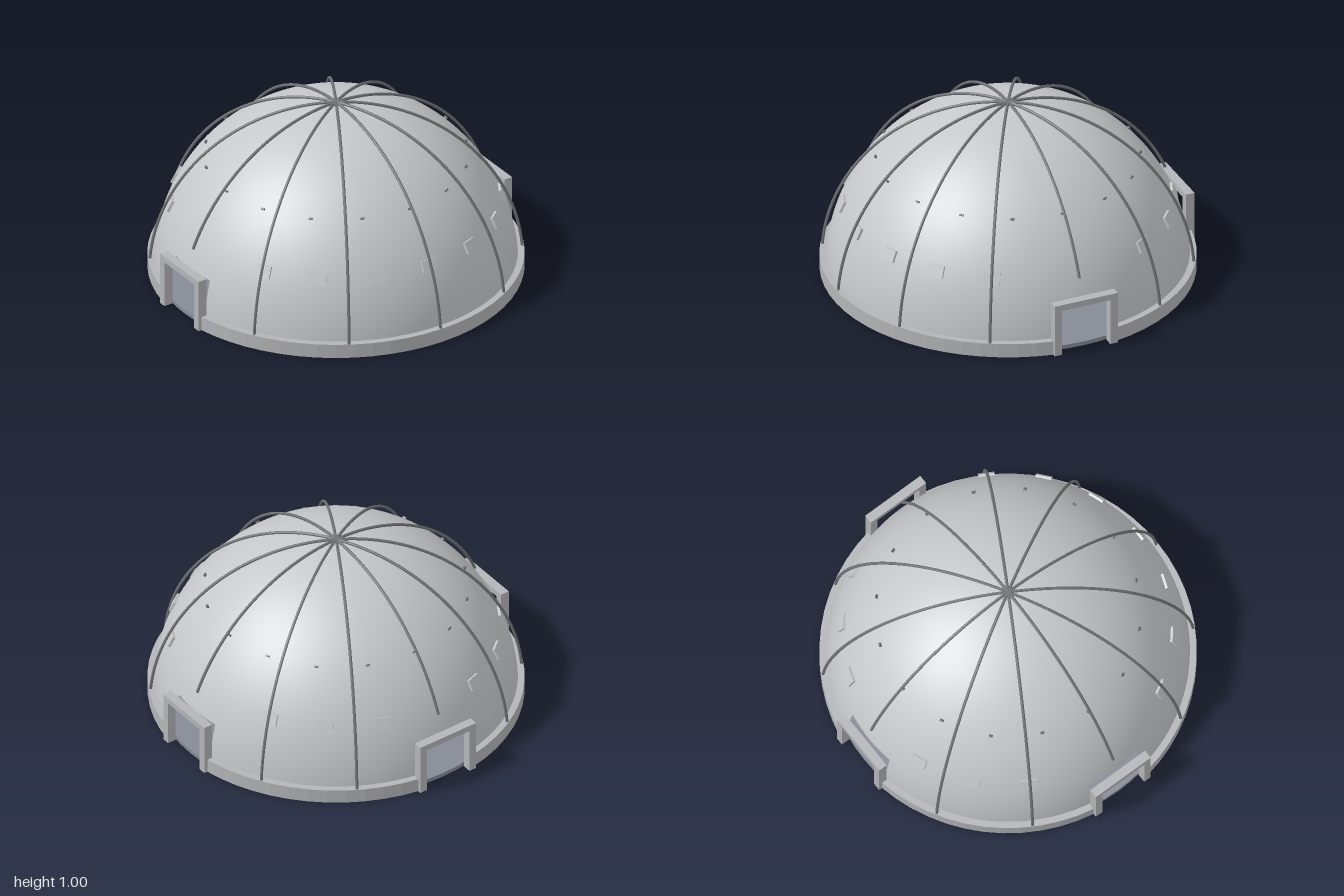
import * as THREE from 'three';

const R = 0.965;                       // dome radius
const DEG = Math.PI / 180;
const DOORS = [0, 90, 180];            // door headings: +x, back, -x
const DOOR_TOP = 0.27;

const mat = (name, color, side = THREE.FrontSide) => {
  const m = new THREE.MeshStandardMaterial({ color, side });
  m.name = name;
  return m;
};

export function createModel() {
  const model = new THREE.Group();
  const shell = mat('shell grey', 0xc6c7ca, THREE.DoubleSide);
  const trim = mat('trim grey', 0xb4b5b8);
  const ribMat = mat('rib dark grey', 0x707275);
  const floorMat = mat('floor blue grey', 0x868a96);

  const add = (parent, name, geometry, material) => {
    const mesh = new THREE.Mesh(geometry, material);
    mesh.name = name;
    parent.add(mesh);
    return mesh;
  };
  const group = (name) => {
    const g = new THREE.Group();
    g.name = name;
    model.add(g);
    return g;
  };

  // Dome: a full cap above door height, and three wall bands between the doors
  const dome = group('dome');
  const capTheta = Math.acos(DOOR_TOP / R);
  const wallTheta = Math.acos(0.01 / R);
  add(dome, 'domeCap', new THREE.SphereGeometry(R, 144, 40, 0, Math.PI * 2, 0, capTheta), shell);
  for (const [from, to] of [[10, 170], [190, 260], [280, 350]]) {
    add(dome, 'domeWall', new THREE.SphereGeometry(R, (to - from) / 2.5, 10,
      from * DEG, (to - from) * DEG, capTheta, wallTheta - capTheta), shell);
  }

  // Base ring, broken at each door
  const ring = group('baseRing');
  for (const [from, to] of [[10, 80], [100, 170], [190, 350]]) {
    const s = new THREE.Shape();
    s.absarc(0, 0, 0.998, from * DEG, to * DEG, false);
    s.absarc(0, 0, 0.95, to * DEG, from * DEG, true);
    const g = new THREE.ExtrudeGeometry(s, {
      depth: 0.08, bevelEnabled: false, curveSegments: Math.round((to - from) / 11.25),
    });
    add(ring, 'ringSection', g.rotateX(-Math.PI / 2), trim);
  }

  // Floor disc and central column
  add(model, 'floor', new THREE.CylinderGeometry(0.96, 0.96, 0.023, 72).translate(0, 0.0155, 0), floorMat);
  add(model, 'centralColumn', new THREE.CylinderGeometry(0.04, 0.04, 0.92, 24).translate(0, 0.487, 0), shell);

  // Door frames: an upright arch extruded outwards
  const arch = new THREE.Shape();
  [[-0.183, 0], [-0.14, 0], [-0.14, 0.265], [0.14, 0.265], [0.14, 0], [0.183, 0], [0.183, 0.3], [-0.183, 0.3]]
    .forEach(([x, y], i) => (i ? arch.lineTo(x, y) : arch.moveTo(x, y)));
  const frameGeo = new THREE.ExtrudeGeometry(arch, { depth: 0.05, bevelEnabled: false })
    .translate(0, 0, 0.95).rotateY(Math.PI / 2);
  for (const a of DOORS) add(model, 'doorFrame', frameGeo, trim).rotation.y = a * DEG;

  // Twelve meridian ribs, stopping short above the doors
  const ribs = group('ribs');
  for (let a = 0; a < 360; a += 30) {
    const start = (DOORS.includes(a) ? 22.9 : 4.5) * DEG;
    const g = new THREE.TorusGeometry(0.99, 0.008, 8, 40, Math.PI / 2 - start).rotateZ(start);
    add(ribs, 'rib', g, ribMat).rotation.y = a * DEG;
  }

  // Plates seated on the dome at a heading (from the front) and an elevation
  const plate = (parent, name, geometry, material, heading, elevation) => {
    const m = add(parent, name, geometry, material);
    m.rotation.set(-elevation * DEG, heading * DEG, 0, 'YXZ');
  };

  // Window panels, left out near the doors
  const windows = group('windowPanels');
  const panelGeo = new THREE.BoxGeometry(0.086, 0.065, 0.03).translate(0, 0, R - 0.002);
  for (const a of [0, 20, 40, 60, 120, 140, 160]) {
    for (const side of a ? [1, -1] : [1]) plate(windows, 'windowPanel', panelGeo, shell, a * side, 25);
  }

  // Upper row of small lamps
  const lamps = group('lamps');
  const lampGeo = new THREE.BoxGeometry(0.02, 0.01, 0.024).translate(0, 0, R);
  for (let i = 0; i < 16; i++) plate(lamps, 'lamp', lampGeo, ribMat, i * 22.5, 43.8);

  return model;
}
